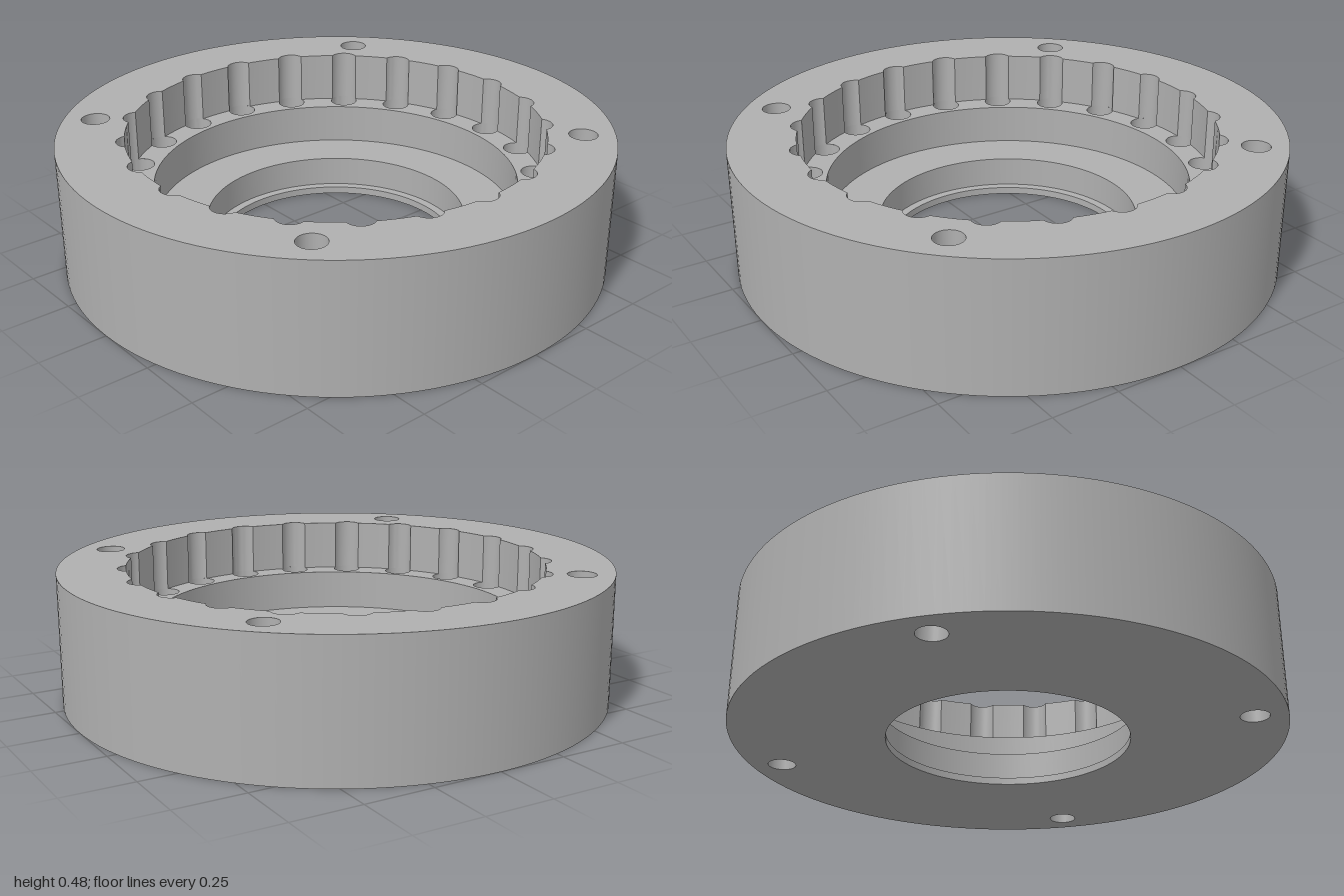
import * as THREE from 'three';
import { toCreasedNormals } from 'three/addons/utils/BufferGeometryUtils.js';

const H = 0.48;                 // overall height
const SHELF = 0.29;             // shelf below the scalloped bore
const POCKET = 0.19;            // floor of the pin pockets
const BORE = 0.757;             // scalloped bore radius
const PINS = 21, PIN_R = 0.052, PIN_D = 0.735;
const BOLT_R = 0.052, BOLT_D = 0.884;

// points of an arc from angle a to angle b, end excluded
function arc(cx, cy, r, a, b, n) {
  return Array.from({ length: n }, (_, i) => {
    const t = a + ((b - a) * i) / n;
    return new THREE.Vector2(cx + r * Math.cos(t), cy + r * Math.sin(t));
  });
}
const circle = (r, n, cx = 0, cy = 0) => arc(cx, cy, r, 0, Math.PI * 2, n);

// bore outline following the outer or the inner side of every pin circle
function scallops(outer) {
  const lx = (PIN_D ** 2 + BORE ** 2 - PIN_R ** 2) / (2 * PIN_D);
  const ly = Math.sqrt(BORE ** 2 - lx ** 2);
  const beta = Math.atan2(ly, lx - PIN_D), alpha = Math.atan2(ly, lx);
  const step = (Math.PI * 2) / PINS, pts = [];
  for (let i = 0; i < PINS; i++) {
    const t = i * step;
    const end = outer ? beta : beta - Math.PI * 2;
    pts.push(...arc(PIN_D * Math.cos(t), PIN_D * Math.sin(t), PIN_R, t - beta, t + end, outer ? 12 : 20));
    pts.push(...arc(0, 0, BORE, t + alpha, t + step - alpha, 6));
  }
  return pts;
}

// flat horizontal face with holes, facing up or down
function plate(outline, holes, y, up = true) {
  const shape = new THREE.Shape(outline);
  holes.forEach((h) => shape.holes.push(new THREE.Path(h)));
  return new THREE.ShapeGeometry(shape).rotateX(up ? -Math.PI / 2 : Math.PI / 2).translate(0, y, 0);
}

// inward-facing wall along a closed outline
function innerWall(pts, y0, y1) {
  const pos = [], idx = [], n = pts.length;
  pts.forEach((p, i) => {
    pos.push(p.x, y1, -p.y, p.x, y0, -p.y);
    const a = 2 * i, b = 2 * ((i + 1) % n);
    idx.push(a, b, b + 1, a, b + 1, a + 1);
  });
  const g = new THREE.BufferGeometry();
  g.setAttribute('position', new THREE.Float32BufferAttribute(pos, 3));
  g.setIndex(idx);
  return toCreasedNormals(g, 0.6);
}

// one revolved surface: rising faces outward, falling faces inward
function revolve(r0, y0, r1, y1) {
  return new THREE.LatheGeometry([new THREE.Vector2(r0, y0), new THREE.Vector2(r1, y1)], 128);
}

export function createModel() {
  const model = new THREE.Group();
  model.name = 'ringGearHousing';
  const metal = new THREE.MeshStandardMaterial({ color: 0xb0b0b0 });
  metal.name = 'greyMetal';
  const add = (name, geometry) => {
    const mesh = new THREE.Mesh(geometry, metal);
    mesh.name = name;
    model.add(mesh);
  };

  // four bolt hole centres on the diagonals
  const bolts = [0, 1, 2, 3].map((i) => {
    const t = Math.PI / 4 + (i * Math.PI) / 2;
    return circle(BOLT_R, 32, BOLT_D * Math.cos(t), BOLT_D * Math.sin(t));
  });

  // outer body
  add('outerWall', revolve(1, 0, 1, H));
  add('topFace', plate(circle(1, 128), [scallops(true), ...bolts], H));
  add('bottomFace', plate(circle(1, 128), [circle(0.442, 128), ...bolts], 0, false));
  bolts.forEach((b) => add('boltHole', innerWall(b, 0, H)));

  // scalloped bore and its shelf
  add('scallopedBore', innerWall(scallops(true), SHELF, H));
  add('pinShelf', plate(scallops(false), [circle(0.663, 128)], SHELF));

  // blind pockets that seat the pins
  for (let i = 0; i < PINS; i++) {
    const t = (i * Math.PI * 2) / PINS;
    const c = circle(PIN_R, 32, PIN_D * Math.cos(t), PIN_D * Math.sin(t));
    add('pinPocketWall', innerWall(c, POCKET, SHELF));
    add('pinPocketFloor', plate(c, [], POCKET));
  }

  // stepped central bore, from the shelf down to the bottom lip
  add('recessWall', revolve(0.663, SHELF, 0.663, 0.14));
  add('recessFloor', revolve(0.663, 0.14, 0.475, 0.14));
  add('bearingSeatWall', revolve(0.475, 0.14, 0.475, 0.027));
  add('lipTop', revolve(0.475, 0.027, 0.442, 0.027));
  add('lipWall', revolve(0.442, 0.027, 0.442, 0));
  return model;
}
